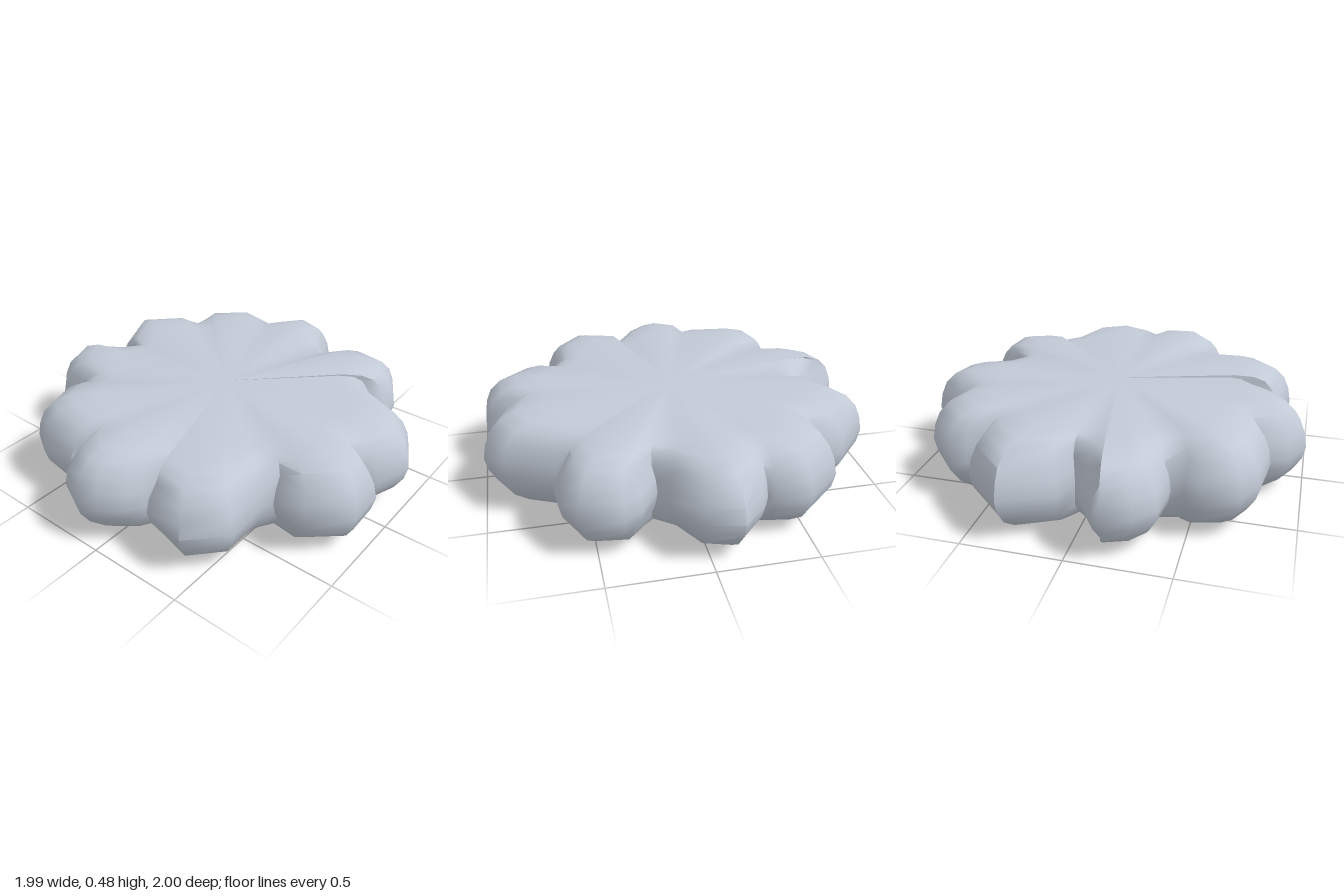
import * as THREE from 'three';
import { toCreasedNormals } from 'three/addons/utils/BufferGeometryUtils.js';

// Scalloped rim (x, z), counterclockwise from the front, one line per lobe
const RIM = [
  [-0.25, 0.93], [-0.1, 1], [0.01, 0.975], [0.12, 0.89], [0.17, 0.82], [0.165, 0.71],
  [0.2, 0.84], [0.44, 0.89], [0.61, 0.72], [0.6, 0.48],
  [0.62, 0.43], [0.8, 0.46], [0.98, 0.29], [0.975, 0.1], [0.86, 0.03],
  [0.93, -0.01], [0.99, -0.2], [0.9, -0.38], [0.65, -0.48], [0.61, -0.51],
  [0.67, -0.56], [0.66, -0.68], [0.58, -0.82], [0.38, -0.86], [0.29, -0.8], [0.2, -0.67],
  [0.17, -0.75], [0.06, -0.96], [-0.13, -1], [-0.26, -0.87], [-0.29, -0.81],
  [-0.31, -0.84], [-0.49, -0.86], [-0.67, -0.7], [-0.68, -0.59], [-0.64, -0.53],
  [-0.78, -0.53], [-0.97, -0.32], [-0.86, -0.06], [-0.73, -0.02],
  [-0.84, 0.03], [-0.98, 0.12], [-1, 0.17], [-0.95, 0.31], [-0.86, 0.4], [-0.68, 0.42],
  [-0.69, 0.48], [-0.73, 0.56], [-0.67, 0.74], [-0.55, 0.81], [-0.31, 0.84], [-0.29, 0.79],
];

// Edge profile from underside to top: distance in from the rim, height
const PROFILE = [
  [0.34, 0.03], [0.23, 0.014], [0.13, 0.05], [0.06, 0.105], [0.015, 0.18],
  [0, 0.25], [0.015, 0.33], [0.045, 0.4], [0.1, 0.455], [0.18, 0.483], [0.31, 0.493],
];
const MID = 0.25;

// Rim point j moved in by the profile: lobes also narrow sideways, notches sink
function rimPoint(j, inset, y) {
  const n = RIM.length;
  const [x, z] = RIM[j], [px, pz] = RIM[(j + n - 1) % n], [qx, qz] = RIM[(j + 1) % n];
  const r = Math.hypot(x, z), rx = x / r, rz = z / r;
  const share = THREE.MathUtils.clamp((r - 0.55) / 0.4, 0, 1);
  // sideways part of the outward normal of the rim
  const nx = pz - qz, nz = qx - px;
  const side = (-nx * rz + nz * rx) / Math.hypot(nx, nz);
  const inward = inset * share, across = -side * Math.min(inset, 0.05);
  const sign = nx * rx + nz * rz > 0 ? 1 : -1;
  return [
    x - rx * inward - rz * across * sign,
    y + (MID - y) * 0.14 * (1 - share),
    z - rz * inward + rx * across * sign,
  ];
}

// Stacked copies of the rim, closed by a flat top and a slightly hollow underside
function cushionGeometry() {
  const positions = [], index = [];
  const n = RIM.length, last = (PROFILE.length - 1) * n;
  for (const [inset, y] of PROFILE) {
    for (let j = 0; j < n; j++) positions.push(...rimPoint(j, inset, y));
  }
  const bottom = positions.length / 3, top = bottom + 1;
  positions.push(0, 0.052, 0, 0, 0.482, 0);

  for (let j = 0; j < n; j++) {
    const k = (j + 1) % n;
    for (let lo = 0; lo < last; lo += n) {
      const hi = lo + n;
      index.push(lo + j, lo + k, hi + k, lo + j, hi + k, hi + j);
    }
    index.push(bottom, k, j, top, last + j, last + k);
  }
  const geometry = new THREE.BufferGeometry();
  geometry.setAttribute('position', new THREE.Float32BufferAttribute(positions, 3));
  geometry.setIndex(index);
  return toCreasedNormals(geometry, 1);
}

export function createModel() {
  const group = new THREE.Group();
  group.name = 'lobedCushion';
  const material = new THREE.MeshStandardMaterial({ color: 0xc2cad6 });
  material.name = 'pale blue grey';
  const cushion = new THREE.Mesh(cushionGeometry(), material);
  cushion.name = 'cushion';
  group.add(cushion);
  return group;
}
